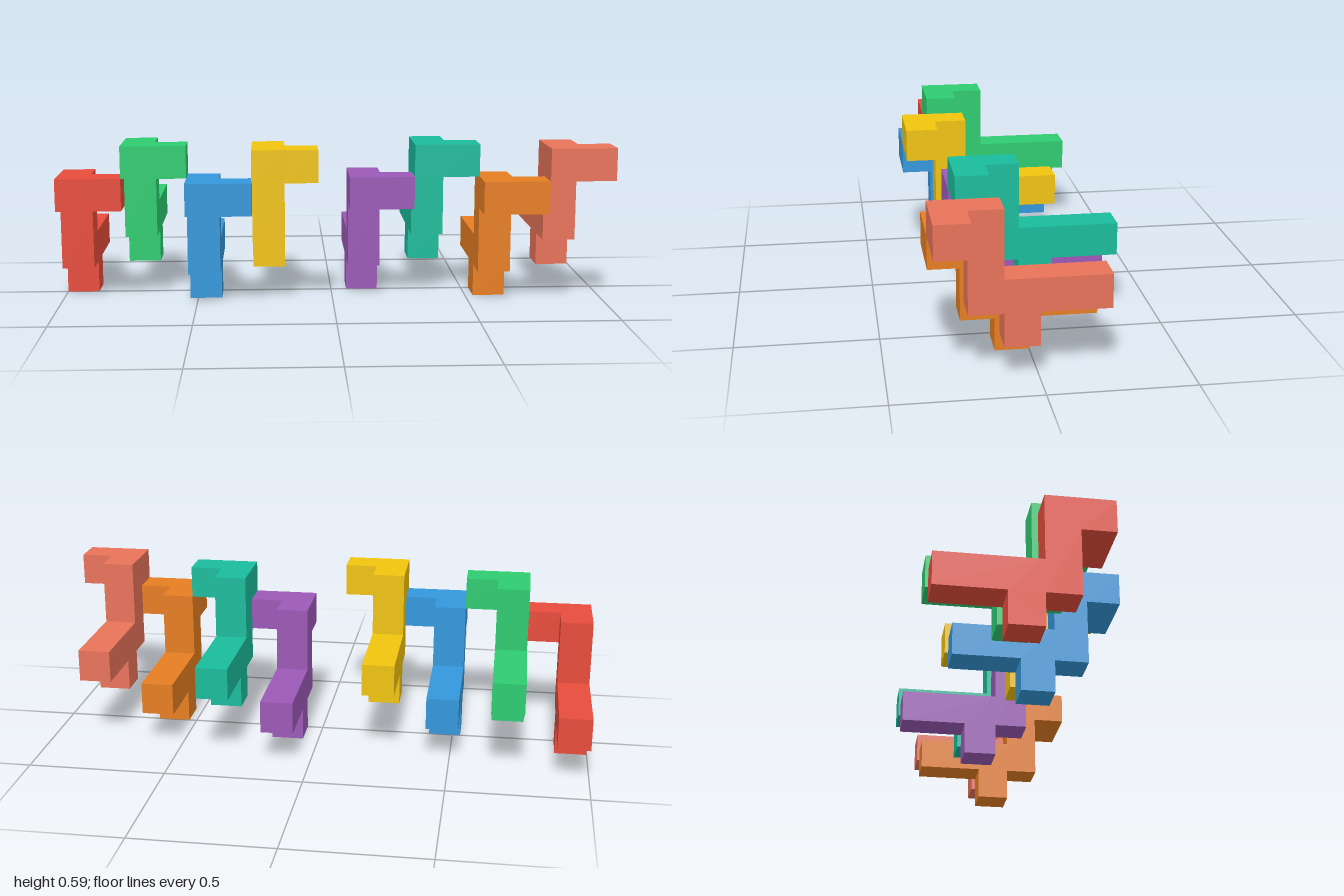
import * as THREE from 'three';

const U = 2 / 17; // one cube cell

// Side outline of a piece in cells (z, y): column, toe, rear arm and stub
const OUTLINE = [
  [0, 0], [1, 0], [1, 1], [2, 1], [2, 3], [3, 3],
  [3, 4], [1, 4], [1, 2], [-2, 2], [-2, 1], [0, 1],
];

function makePiece(name, color) {
  const piece = new THREE.Group();
  piece.name = name;
  const material = new THREE.MeshStandardMaterial({ color });

  // One-cell-thick body
  const shape = new THREE.Shape(OUTLINE.map(([z, y]) => new THREE.Vector2(z * U, y * U)));
  const bodyGeometry = new THREE.ExtrudeGeometry(shape, { depth: U, bevelEnabled: false });
  bodyGeometry.rotateY(-Math.PI / 2).translate(U, 0, 0);
  const body = new THREE.Mesh(bodyGeometry, material);
  body.name = 'body';

  // Cube sticking out sideways from the top front cell
  const side = new THREE.Mesh(new THREE.BoxGeometry(U, U, U), material);
  side.name = 'sideCube';
  side.position.set(1.5 * U, 3.5 * U, 2.5 * U);

  piece.add(body, side);
  return piece;
}

export function createModel() {
  const model = new THREE.Group();
  model.name = 'cubePieces';

  const pieces = [
    ['redPiece', 0xe74c3c], ['greenPiece', 0x2ecc71],
    ['bluePiece', 0x3498db], ['yellowPiece', 0xf1c40f],
    ['purplePiece', 0x9b59b6], ['tealPiece', 0x1abc9c],
    ['orangePiece', 0xe67e22], ['salmonPiece', 0xe8735a],
  ];

  // Two sets of four: every second piece is raised, each rear pair set back
  pieces.forEach(([name, color], i) => {
    const piece = makePiece(name, color);
    const x = i * 2 + (i >= 4 ? 1 : 0) - 8.5;
    const z = i % 4 < 2 ? -1 : 0;
    piece.position.set(x * U, (i % 2) * U, z * U);
    model.add(piece);
  });

  return model;
}
